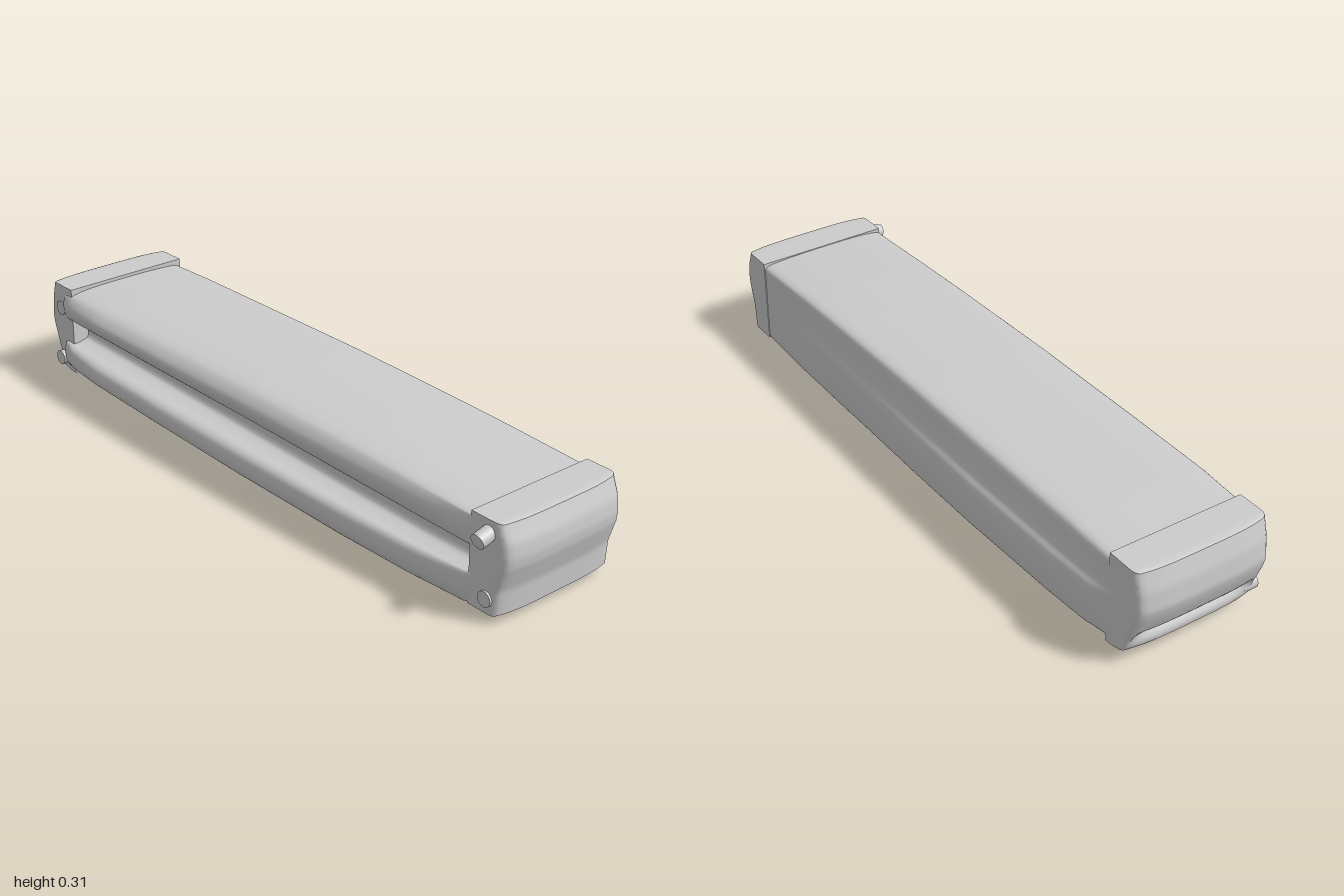
import * as THREE from 'three';
import { toCreasedNormals } from 'three/addons/utils/BufferGeometryUtils.js';

const material = new THREE.MeshStandardMaterial({ color: 0xcccccc, side: THREE.DoubleSide });

// Piecewise interpolation through [position, value] pairs in ascending order
function sample(pairs, p) {
  if (p <= pairs[0][0]) return pairs[0][1];
  for (let i = 1; i < pairs.length; i++) {
    const [p0, v0] = pairs[i - 1], [p1, v1] = pairs[i];
    if (p <= p1) return v0 + (v1 - v0) * (p - p0) / (p1 - p0);
  }
  return pairs[pairs.length - 1][1];
}

// Cross-section at its fullest, counter-clockwise, with the side channel at -x
const section = [
  [0.14, 0.004], [0.2, 0.014], [0.225, 0.026], [0.24, 0.042], [0.246, 0.08], [0.246, 0.14],
  [0.24, 0.178], [0.226, 0.2], [0.216, 0.25], [0.212, 0.285], [0.2, 0.304], [0.15, 0.312],
  [0, 0.316], [-0.15, 0.312], [-0.2, 0.302], [-0.222, 0.286], [-0.236, 0.265], [-0.234, 0.245],
  [-0.215, 0.215], [-0.188, 0.2], [-0.155, 0.185], [-0.15, 0.13], [-0.185, 0.117], [-0.222, 0.113],
  [-0.24, 0.1], [-0.247, 0.07], [-0.241, 0.045], [-0.225, 0.028], [-0.2, 0.014], [-0.14, 0.004], [0, 0.002],
];

// How the section changes along z
const topLine = [[-0.9, 0.305], [-0.7, 0.311], [0, 0.314], [0.4, 0.307], [0.6, 0.301], [0.9, 0.287]];
const bottomLine = [[-0.9, 0.043], [-0.8, 0.037], [-0.5, 0.028], [0, 0.011], [0.4, 0.004], [0.65, 0.006], [0.85, 0.017], [0.9, 0.032]];
const leftBulge = [[-0.9, 0], [-0.8, 0.75], [-0.65, 0.95], [-0.3, 1], [0, 0.78], [0.4, 0.4], [0.7, 0.14], [0.9, 0]];
const rightBulge = [[-0.9, 0.3], [-0.85, 0.65], [-0.7, 0.95], [-0.4, 1], [0, 0.92], [0.4, 0.75], [0.7, 0.5], [0.85, 0.2], [0.9, 0]];

function bodyGeometry() {
  const ringCurve = new THREE.CatmullRomCurve3(
    section.map(([x, y]) => new THREE.Vector3(x, y, 0)), true, 'centripetal');
  const n = 124, rows = 72;
  const ring = ringCurve.getPoints(n).slice(0, n);
  const positions = [], index = [];
  for (let i = 0; i <= rows; i++) {
    const z = 0.9 - 1.8 * i / rows;
    const top = sample(topLine, z), bottom = sample(bottomLine, z);
    const wl = sample(leftBulge, z), wr = sample(rightBulge, z);
    for (const p of ring) {
      let x = p.x;
      if (x > 0.208) x = 0.208 + (x - 0.208) * wl;
      if (x < -0.198) x = -0.198 + (x + 0.198) * wr;
      positions.push(x, bottom + (p.y - 0.002) / 0.314 * (top - bottom), z);
    }
  }
  for (let i = 0; i < rows; i++) {
    for (let j = 0; j < n; j++) {
      const a = i * n + j, b = i * n + (j + 1) % n;
      index.push(a, a + n, b, b, a + n, b + n);
    }
  }
  const g = new THREE.BufferGeometry();
  g.setAttribute('position', new THREE.Float32BufferAttribute(positions, 3));
  g.setIndex(index);
  g.computeVertexNormals();
  return g;
}

// End block: a box whose outer face follows endLine, bows across x and may have a recess
function capGeometry({ sign, yBottom, yTop, endLine, recess, taper }) {
  const g = new THREE.BoxGeometry(1, 1, 1, 24, 28, 14);
  const pos = g.attributes.position;
  for (let i = 0; i < pos.count; i++) {
    const u = pos.getX(i) * 2, v = pos.getY(i) * 2, t = 0.5 + sign * pos.getZ(i);
    const k = Math.max(0, (t - 0.75) / 0.25);
    const inset = 0.012 * (1 - Math.sqrt(Math.max(0, 1 - k * k)));
    const base = yBottom + (v < 0 ? taper * t * t : 0);
    const y = base + (yTop - base) * (v + 1) / 2;
    let end = sample(endLine, y) - 0.012 * u ** 4;
    end -= recess * Math.exp(-(((y - 0.095) / 0.016) ** 2)) * (1 - u ** 6);
    pos.setXYZ(i, 0.005 + u * (0.206 - inset), y - v * inset * 0.3, sign * (0.865 + (end - 0.865) * t));
  }
  return toCreasedNormals(g, 0.7);
}

export function createModel() {
  const model = new THREE.Group();
  const add = (name, geometry) => {
    const mesh = new THREE.Mesh(geometry, material);
    mesh.name = name;
    model.add(mesh);
    return mesh;
  };

  add('body', bodyGeometry());
  add('frontCap', capGeometry({
    sign: 1, yBottom: 0.029, yTop: 0.291, recess: 0, taper: 0,
    endLine: [[0.03, 0.972], [0.1, 0.976], [0.14, 0.988], [0.17, 0.997], [0.2, 1], [0.24, 0.995], [0.29, 0.975]],
  }));
  add('backCap', capGeometry({
    sign: -1, yBottom: 0.038, yTop: 0.316, recess: 0.022, taper: 0.016,
    endLine: [[0.04, 0.948], [0.08, 0.958], [0.13, 0.978], [0.17, 0.993], [0.2, 1], [0.26, 0.994], [0.316, 0.978]],
  }));

  // Pegs and flush bosses on the channel side
  const peg = (name, y, z, radius, reach, tilt) => {
    const g = new THREE.CylinderGeometry(radius, radius, reach + 0.03, 24);
    g.translate(0, (reach - 0.03) / 2, 0);
    const mesh = add(name, g);
    mesh.position.set(-0.2, y, z);
    mesh.rotation.z = Math.PI / 2 + tilt;
  };
  peg('frontUpperPeg', 0.253, 0.925, 0.022, 0.04, 0.26);
  peg('frontLowerBoss', 0.07, 0.925, 0.022, 0.007, 0);
  peg('backUpperBoss', 0.24, -0.925, 0.022, 0.005, 0);
  peg('backLowerPeg', 0.075, -0.925, 0.022, 0.015, 0);

  return model;
}
